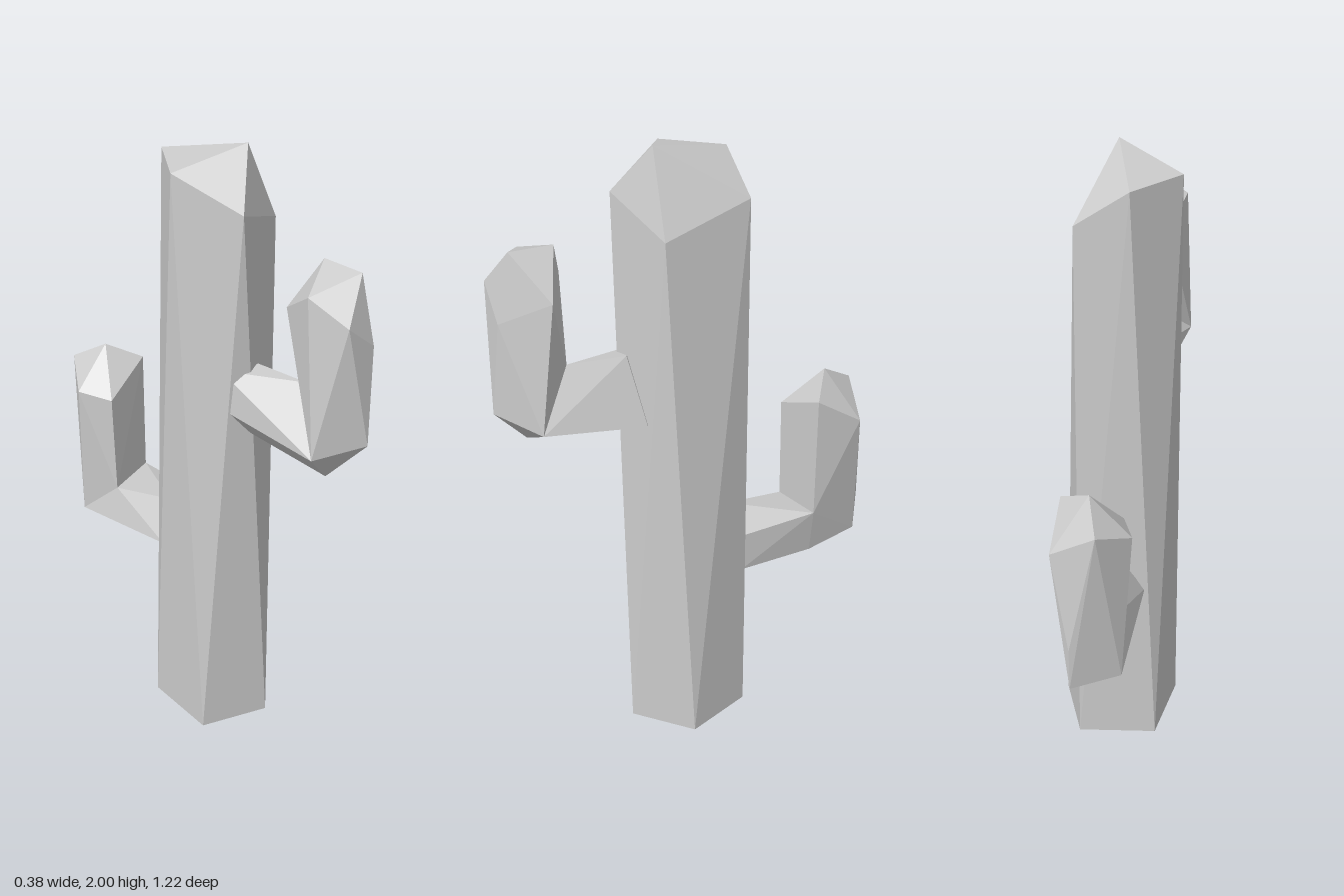
import * as THREE from 'three';
import { ConvexGeometry } from 'three/addons/geometries/ConvexGeometry.js';

const material = new THREE.MeshStandardMaterial({ color: 0xcccccc, flatShading: true });

// A faceted convex piece spanning the given cross-section rings.
function facetedPiece(name, ...rings) {
  const points = rings.flat().map((p) => new THREE.Vector3(...p));
  const mesh = new THREE.Mesh(new ConvexGeometry(points), material);
  mesh.name = name;
  return mesh;
}

// An L-shaped arm: root to elbow, then elbow to tip, sharing the mitred elbow ring.
function arm(name, root, elbow, shoulder, tip) {
  const group = new THREE.Group();
  group.name = name;
  group.add(
    facetedPiece(name + 'Branch', root, elbow),
    facetedPiece(name + 'Upright', elbow, shoulder, tip)
  );
  return group;
}

export function createModel() {
  const cactus = new THREE.Group();
  cactus.name = 'cactus';

  // Trunk: five-sided, slightly tapered and twisted, with an off-centre peak
  cactus.add(facetedPiece('trunk',
    [[0.19, 0, 0.05], [0.03, 0, 0.21], [-0.18, 0, 0.12], [-0.15, 0, -0.13], [0.1, 0, -0.17]],
    [[0.13, 1.75, 0.12], [-0.09, 1.84, 0.2], [-0.185, 1.94, 0.01], [-0.06, 1.94, -0.155], [0.1, 1.83, -0.16]],
    [[0.02, 2, 0.11]]
  ));

  // Upper arm, reaching forward
  cactus.add(arm('frontArm',
    [[-0.01, 1.345, 0.19], [0.08, 1.14, 0.16], [-0.05, 1.13, 0.16], [-0.11, 1.21, 0.12], [-0.1, 1.33, 0.12]],
    [[-0.01, 1.355, 0.38], [0.11, 1.2, 0.5], [-0.01, 1.24, 0.612], [-0.145, 1.21, 0.52], [-0.055, 1.11, 0.5]],
    [[0.1, 1.61, 0.45], [0.02, 1.54, 0.59], [-0.09, 1.63, 0.59], [-0.13, 1.7, 0.475], [-0.09, 1.62, 0.365]],
    [[0.01, 1.75, 0.41], [0.01, 1.75, 0.545]]
  ));

  // Lower arm, reaching backward
  cactus.add(arm('backArm',
    [[0.1, 0.67, -0.13], [0.1, 0.54, -0.155], [0, 0.505, -0.165], [-0.11, 0.59, -0.13], [-0.04, 0.715, -0.165]],
    [[0.09, 0.685, -0.42], [0.03, 0.545, -0.607], [0.07, 0.53, -0.42], [-0.11, 0.55, -0.52], [-0.08, 0.68, -0.38]],
    [[0.09, 1, -0.575], [0.09, 1.1, -0.42], [-0.09, 1.02, -0.38], [-0.135, 1.03, -0.49], [-0.05, 1.09, -0.605], [0.03, 0.69, -0.612]],
    [[-0.01, 1.16, -0.49]]
  ));

  return cactus;
}
